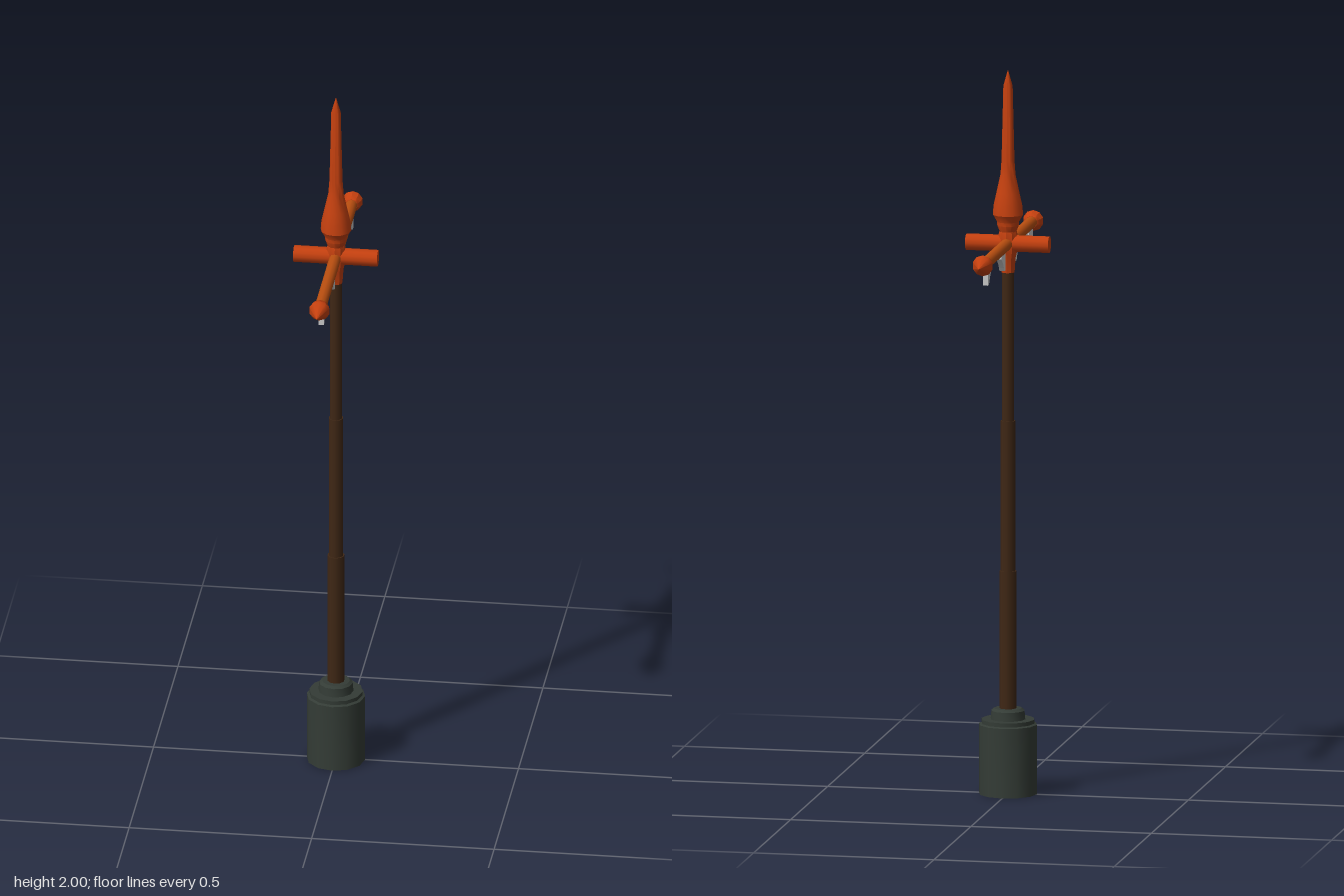
import * as THREE from 'three';
import { toCreasedNormals } from 'three/addons/utils/BufferGeometryUtils.js';

const mat = (color) => new THREE.MeshStandardMaterial({ color });
const AXIS_Y = 1.52; // height of the crossing bars

export function createModel() {
  const model = new THREE.Group();
  model.name = 'streetSignPost';
  const red = mat(0xc4400f), orange = mat(0xbb4f10), wood = mat(0x3f2715);
  const stone = mat(0x343c36), grey = mat(0xcccccc);

  const add = (name, geometry, material) => {
    const mesh = new THREE.Mesh(geometry, material);
    mesh.name = name;
    model.add(mesh);
    return mesh;
  };
  // Turned part from [radius, height] pairs, bottom to top
  const turned = (points, sides) => toCreasedNormals(
    new THREE.LatheGeometry(points.map(([r, y]) => new THREE.Vector2(r, y)), sides), 0.6);

  // Stepped base
  add('base', turned([[0, 0], [0.08, 0], [0.08, 0.192], [0.073, 0.195], [0.073, 0.206],
    [0.048, 0.206], [0.046, 0.23], [0.038, 0.236], [0, 0.236]], 12), stone);

  // Pole in three narrowing lengths
  [[0.23, 0.615, 0.0235], [0.615, 1.03, 0.02], [1.03, 1.46, 0.017]].forEach(([y0, y1, r], i) => {
    const pole = add('poleSection' + (i + 1), new THREE.CylinderGeometry(r, r, y1 - y0, 10), wood);
    pole.position.y = (y0 + y1) / 2;
  });

  // Collar around the pole top, and the spire above
  add('collar', turned([[0, 1.44], [0.018, 1.44], [0.021, 1.48], [0.026, 1.5], [0.026, 1.545],
    [0.022, 1.56], [0, 1.56]], 10), red);
  add('spire', turned([[0, 1.55], [0.022, 1.55], [0.03, 1.57], [0.03, 1.58], [0.042, 1.6],
    [0.04, 1.625], [0.032, 1.66], [0.021, 1.71], [0.018, 1.75], [0.013, 1.955], [0, 2]], 12), red);

  // Short thick crosspiece
  const crosspiece = add('crosspiece', new THREE.CylinderGeometry(0.023, 0.023, 0.23, 12), red);
  crosspiece.rotation.z = Math.PI / 2;
  crosspiece.position.y = AXIS_Y;

  // Long arm with pointed finials at both ends
  const arm = add('arm', new THREE.CylinderGeometry(0.016, 0.016, 0.64, 10), orange);
  arm.rotation.x = Math.PI / 2;
  arm.position.y = AXIS_Y;
  const finialShape = turned([[0, 0.314], [0.017, 0.314], [0.024, 0.322], [0.029, 0.341],
    [0.024, 0.352], [0, 0.396]], 10);

  // Hanging bracket: straight upright edge, curved underside; u runs along the arm
  const bracketShape = new THREE.Shape();
  bracketShape.moveTo(0, 0);
  bracketShape.lineTo(0, -0.052);
  bracketShape.lineTo(0.012, -0.052);
  bracketShape.quadraticCurveTo(0.028, -0.025, 0.055, -0.012);
  bracketShape.lineTo(0.055, 0);
  bracketShape.closePath();
  const bracketGeometry = new THREE.ExtrudeGeometry(bracketShape,
    { depth: 0.014, bevelEnabled: false, curveSegments: 5 }).translate(0, 0, -0.007);

  for (const [side, end] of [[1, 'front'], [-1, 'back']]) {
    const finial = add(end + 'Finial', finialShape, red);
    finial.rotation.x = side * Math.PI / 2;
    finial.position.y = AXIS_Y;
    // The two brackets on each half face each other
    for (const [z, dir, place] of [[0.07, 1, 'Inner'], [0.302, -1, 'Outer']]) {
      const bracket = add(end + place + 'Bracket', bracketGeometry, grey);
      bracket.rotation.y = -side * dir * Math.PI / 2;
      bracket.position.set(0, AXIS_Y - 0.01, side * z);
    }
  }
  return model;
}
